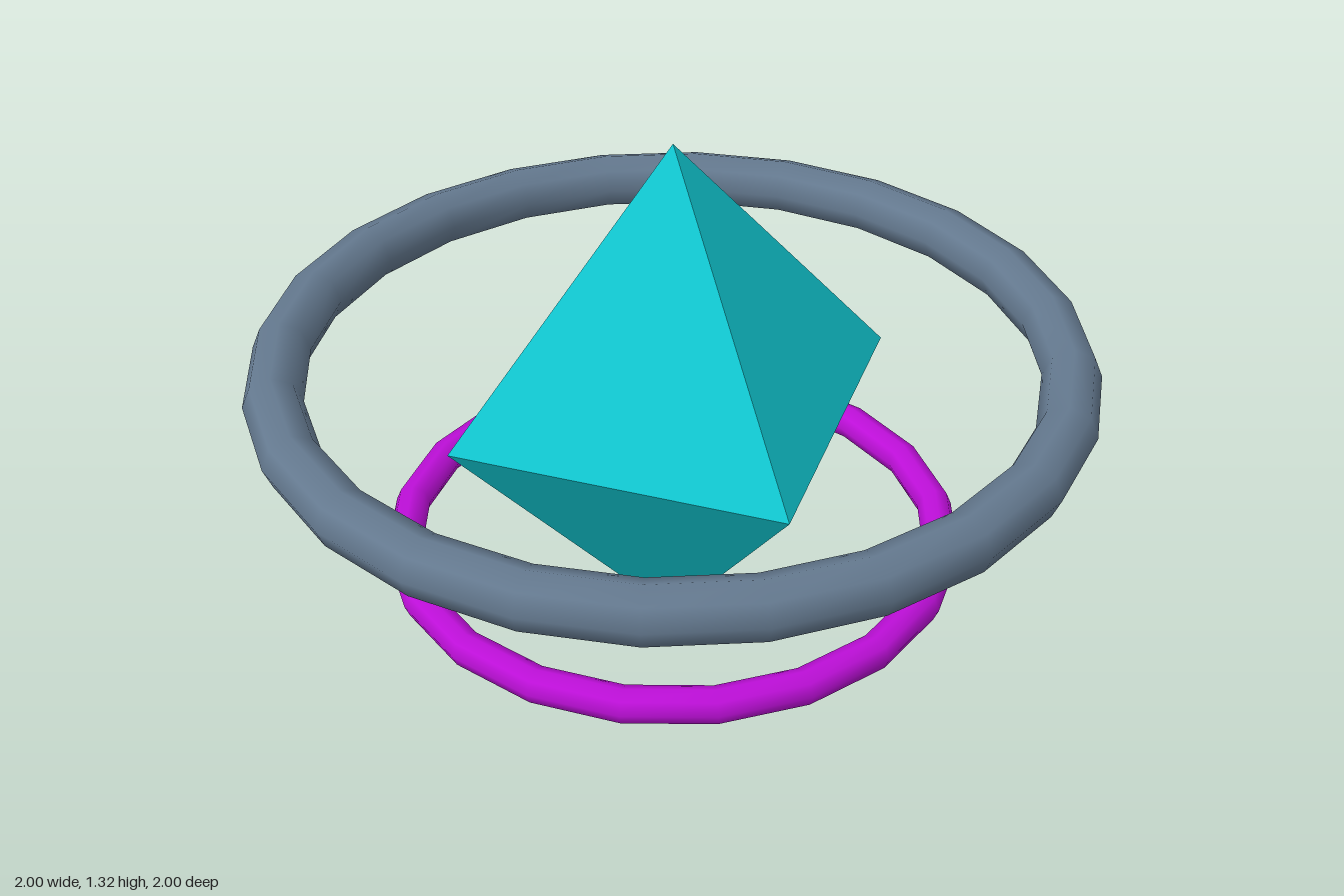
import * as THREE from 'three';

const material = (name, color) => {
  const m = new THREE.MeshStandardMaterial({ color });
  m.name = name;
  return m;
};

export function createModel() {
  const model = new THREE.Group();
  model.name = 'floatingCrystal';

  const crystalCyan = material('crystalCyan', 0x10c8d2);
  const slateBlue = material('slateBlue', 0x64798f);
  const vividMagenta = material('vividMagenta', 0xbd0fd8);

  // Stretched octahedral crystal, standing on its lower point
  const crystal = new THREE.Mesh(
    new THREE.OctahedronGeometry(1, 0).scale(0.573, 0.662, 0.573).toNonIndexed(),
    crystalCyan
  );
  crystal.geometry.computeVertexNormals();
  crystal.name = 'crystal';
  crystal.position.y = 0.662;
  model.add(crystal);

  // Horizontal rings around the crystal
  const addRing = (name, radius, tube, segments, y, mat) => {
    const geometry = new THREE.TorusGeometry(radius, tube, 8, segments);
    geometry.rotateX(Math.PI / 2);
    const ring = new THREE.Mesh(geometry, mat);
    ring.name = name;
    ring.position.y = y;
    model.add(ring);
  };
  addRing('outerRing', 0.93, 0.07, 24, 0.754, slateBlue);
  addRing('lowerRing', 0.662, 0.043, 20, 0.268, vividMagenta);

  return model;
}
